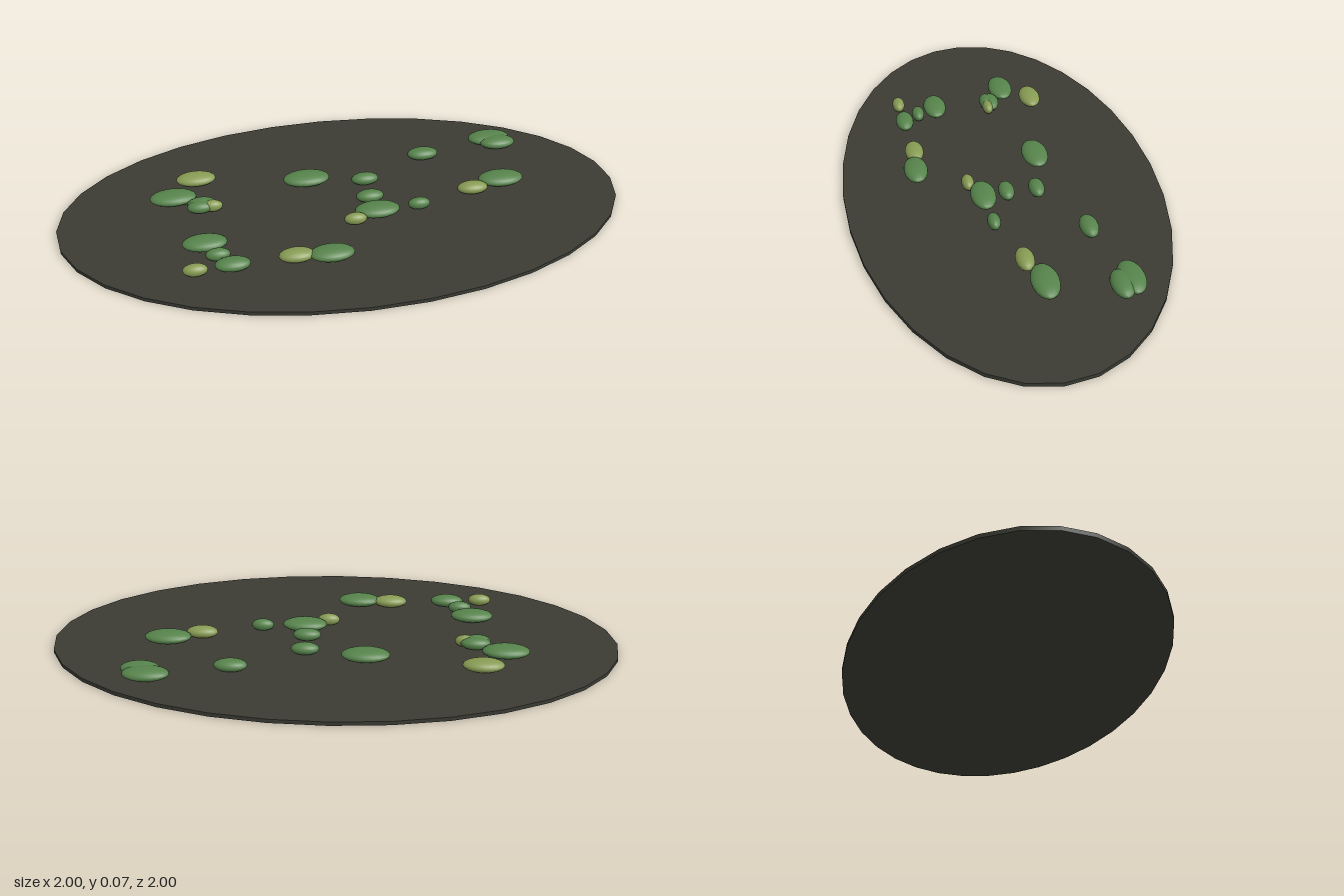
import * as THREE from 'three';

// Every round part is stretched along the same diagonal
const LONG = 1.24, SHORT = 0.69, TURN = Math.PI / 4;
const BASE_HEIGHT = 0.017, PAD_HALF_HEIGHT = 0.027;

// Pads: [x, z, half extent]
const GREEN_PADS = [
  [0.275, -0.81, 0.08], [0.33, -0.80, 0.067], [0.093, -0.51, 0.058],
  [0.486, -0.548, 0.083], [-0.01, -0.185, 0.05], [0.29, -0.17, 0.04],
  [0.083, -0.09, 0.05], [0.166, -0.027, 0.08], [-0.227, -0.033, 0.085],
  [-0.615, 0.428, 0.083], [-0.48, 0.388, 0.053], [-0.47, 0.41, 0.047],
  [0.182, 0.329, 0.077], [-0.289, 0.586, 0.077], [-0.193, 0.612, 0.042],
  [-0.104, 0.623, 0.06],
];
const OLIVE_PADS = [
  [0.42, -0.41, 0.056], [0.128, 0.083, 0.04], [-0.63, 0.262, 0.072],
  [-0.433, 0.372, 0.036], [0.072, 0.425, 0.061], [-0.203, 0.741, 0.042],
];

function makeMaterial(name, color) {
  const material = new THREE.MeshStandardMaterial({ color });
  material.name = name;
  return material;
}

export function createModel() {
  const model = new THREE.Group();
  model.name = 'lilyPond';

  const darkWater = makeMaterial('dark water', 0x3b3b34);
  const leafGreen = makeMaterial('leaf green', 0x56834b);
  const oliveGreen = makeMaterial('olive green', 0x879b53);

  // Thin oval water disc
  const discGeometry = new THREE.CylinderGeometry(1, 1, BASE_HEIGHT, 32);
  discGeometry.rotateY(Math.PI / 2);
  const disc = new THREE.Mesh(discGeometry, darkWater);
  disc.name = 'waterDisc';
  disc.scale.set(LONG, 1, SHORT);
  disc.rotation.y = TURN;
  disc.position.y = BASE_HEIGHT / 2;
  model.add(disc);

  // Flattened floating pads
  const padGeometry = new THREE.SphereGeometry(1, 20, 12);
  const addPads = (name, pads, material) => {
    const group = new THREE.Group();
    group.name = name;
    for (const [x, z, size] of pads) {
      const pad = new THREE.Mesh(padGeometry, material);
      pad.name = 'lilyPad';
      pad.scale.set(LONG * size, PAD_HALF_HEIGHT, SHORT * size);
      pad.rotation.y = TURN;
      pad.position.set(x, 0.043, z);
      group.add(pad);
    }
    model.add(group);
  };
  addPads('greenPads', GREEN_PADS, leafGreen);
  addPads('olivePads', OLIVE_PADS, oliveGreen);

  return model;
}
